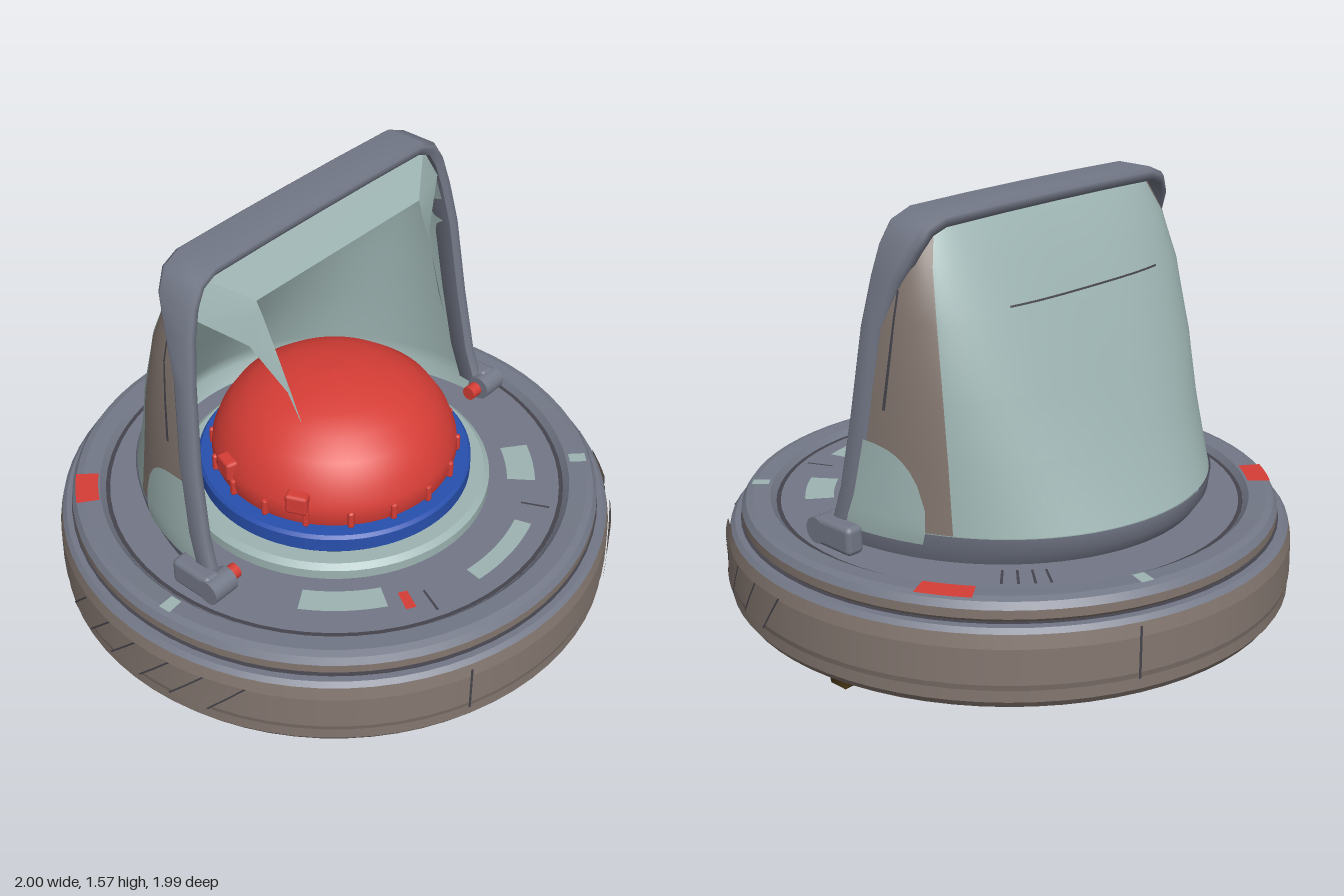
import * as THREE from 'three';
import { RoundedBoxGeometry } from 'three/addons/geometries/RoundedBoxGeometry.js';

const paint = (name, color) => new THREE.MeshStandardMaterial({ name, color, side: THREE.DoubleSide });

export function createModel() {
  const M = {
    brown: paint('warm brown metal', 0x83766f),
    grey: paint('blue grey metal', 0x737887),
    dark: paint('dark seam', 0x45444c),
    pale: paint('pale green panel', 0x9db4b2),
    red: paint('red', 0xd63d36),
    blue: paint('blue', 0x2850ae),
    foot: paint('dark bronze', 0x4b3a18),
  };
  const model = new THREE.Group();
  const add = (name, geo, mat, parent = model) => {
    const m = new THREE.Mesh(geo, mat);
    m.name = name;
    parent.add(m);
    return m;
  };
  // Lathe; repeated points keep the corners sharp
  const lathe = (pts, sharp = true) => new THREE.LatheGeometry(
    pts.flatMap(([r, y], i) => {
      const n = sharp && i > 0 && i < pts.length - 1 ? 2 : 1;
      return Array.from({ length: n }, () => new THREE.Vector2(r, y));
    }), 72);
  // Surface through rows of [x, y, z] points
  const grid = (rows, flip = false) => {
    const w = rows[0].length, idx = [];
    for (let i = 0; i < rows.length - 1; i++) for (let j = 0; j < w - 1; j++) {
      const a = i * w + j, b = a + 1, c = a + w, d = c + 1;
      if (flip) idx.push(a, b, c, b, d, c); else idx.push(a, c, b, b, c, d);
    }
    const g = new THREE.BufferGeometry();
    g.setAttribute('position', new THREE.Float32BufferAttribute(rows.flat(2), 3));
    g.setIndex(idx);
    g.computeVertexNormals();
    return g;
  };
  // Flat arc plate facing up, centred on the direction of (x, z)
  const arcPlate = (name, mat, x, z, r0, r1, span, y) => {
    const g = new THREE.RingGeometry(r0, r1, 64, 1, Math.atan2(-z, x) - span / 2, span);
    g.rotateX(-Math.PI / 2);
    add(name, g, mat).position.y = y;
  };
  const steps = (n, f) => Array.from({ length: n + 1 }, (_, i) => f(i / n));
  const lerp = THREE.MathUtils.lerp;

  // Base drum
  add('baseDrum', lathe([[0, 0.125], [0.93, 0.125], [0.97, 0.135], [0.988, 0.16], [0.988, 0.2],
    [0.993, 0.22], [0.99, 0.34], [0.98, 0.385]]), M.brown);
  add('baseShoulder', lathe([[0.98, 0.385], [0.965, 0.4], [0.925, 0.4]]), M.grey);
  add('upperRingSide', lathe([[0.925, 0.4], [0.94, 0.415], [0.94, 0.445]]), M.brown);
  add('deck', lathe([[0.94, 0.445], [0.925, 0.467], [0.9, 0.475], [0.84, 0.472], [0.82, 0.45], [0, 0.45]]), M.grey);
  arcPlate('deckGroove', M.dark, 1, 0, 0.805, 0.82, Math.PI * 2, 0.452);
  arcPlate('shoulderGroove', M.dark, 1, 0, 0.928, 0.945, Math.PI * 2, 0.403);

  // Slanted plates and a seam around the drum
  const drumPatch = (name, mat, deg, span, lean, y0, y1, r) => add(name, grid(steps(2, v => steps(6, s => {
    const a = THREE.MathUtils.degToRad(deg + (s - 0.5) * span + (v - 0.5) * lean);
    return [Math.sin(a) * r, lerp(y0, y1, v), Math.cos(a) * r];
  })), true), mat);
  for (const deg of [53, 69, 84, 101, -52, -68, -84]) {
    const lean = deg > 0 ? 6 : 8;
    drumPatch('slantedPlate', M.brown, deg, 8, lean, 0.21, 0.355, 0.999);
    for (const s of [-4.2, 4.2]) drumPatch('plateEdge', M.dark, deg + s, 0.5, lean, 0.21, 0.355, 0.9995);
  }
  for (const deg of [-1, 179]) drumPatch('drumSeam', M.dark, deg, 0.5, 0, 0.2, 0.38, 0.996);

  // Feet
  for (const [x, z] of [[0.73, -0.3], [-0.71, 0.34], [0.5, 0.55], [-0.5, -0.54]]) {
    const g = new THREE.CylinderGeometry(0.075, 0.05, 0.14, 4).rotateY(Math.PI / 4);
    const f = add('foot', g, M.foot);
    f.position.set(x, 0.07, z);
    f.rotation.y = Math.atan2(x, z);
  }

  // Plates and marks on the deck
  arcPlate('deckLight', M.pale, -0.28, 0.6, 0.62, 0.71, 0.42, 0.456);
  arcPlate('deckLight', M.pale, 0.32, 0.64, 0.68, 0.74, 0.46, 0.456);
  arcPlate('deckLight', M.pale, 0.61, 0.27, 0.62, 0.72, 0.28, 0.456);
  arcPlate('deckMark', M.red, -0.09, 0.69, 0.66, 0.74, 0.05, 0.456);
  arcPlate('rimMark', M.red, 0.55, -0.72, 0.845, 0.925, 0.2, 0.478);
  arcPlate('rimMark', M.red, -0.83, -0.29, 0.845, 0.925, 0.17, 0.478);
  for (const [x, z] of [[-0.05, -0.88], [-0.8, 0.38], [0.88, 0.4]])
    arcPlate('rimChip', M.pale, x, z, 0.85, 0.91, 0.05, 0.478);
  for (const [x, z] of [[0.55, 0.5], [-0.02, 0.7], [0.2, -0.75], [0.25, -0.74], [0.3, -0.72], [0.35, -0.7]])
    arcPlate('deckSlot', M.dark, x, z, 0.68, 0.78, 0.012, 0.455);

  // Central button
  add('paleCollar', lathe([[0.555, 0.45], [0.555, 0.485], [0.535, 0.502], [0.44, 0.502]]), M.pale);
  add('blueRing', lathe([[0.475, 0.5], [0.485, 0.51], [0.485, 0.56], [0.475, 0.572], [0.4, 0.572]]), M.blue);
  add('redDome', lathe([[0.425, 0.57], [0.435, 0.61], [0.43, 0.65], [0.405, 0.715], [0.36, 0.785], [0.29, 0.84],
    [0.21, 0.875], [0.11, 0.897], [0, 0.904]], false), M.red);
  for (let i = 0; i < 18; i++) {
    const a = (i / 18) * Math.PI * 2;
    const rib = add('domeRib', new RoundedBoxGeometry(0.022, 0.065, 0.03, 1, 0.008), M.red);
    rib.position.set(Math.sin(a) * 0.43, 0.603, Math.cos(a) * 0.43);
    rib.rotation.y = a;
  }
  for (const a of [-0.77, -1.5, 2.37]) {
    const clip = add('domeClip', new RoundedBoxGeometry(0.08, 0.075, 0.06, 1, 0.012), M.red);
    clip.position.set(Math.sin(a) * 0.42, 0.66, Math.cos(a) * 0.42);
    clip.rotation.y = a;
  }

  // Raised hood, turned a little to one side
  const hood = new THREE.Group();
  hood.name = 'hood';
  hood.rotation.y = 0.377;
  model.add(hood);

  // Section rule: height, half width, front, back, roundness
  const sec = [[0.47, 0.705, 0.09, -0.66, 1], [0.52, 0.72, 0.085, -0.695, 1], [0.57, 0.72, 0.07, -0.695, 0.98],
    [0.8, 0.7, 0.03, -0.575, 0.88], [1, 0.685, 0.01, -0.49, 0.78], [1.24, 0.655, -0.03, -0.375, 0.68],
    [1.4, 0.615, -0.05, -0.285, 0.62], [1.5, 0.565, -0.06, -0.22, 0.6], [1.535, 0.5, -0.07, -0.19, 0.6]];
  const shellPoint = (a, y, out = 0) => {
    let i = 0;
    while (i < sec.length - 2 && y > sec[i + 1][0]) i++;
    const t = (y - sec[i][0]) / (sec[i + 1][0] - sec[i][0]);
    const [U, f, b, p] = [1, 2, 3, 4].map(k => lerp(sec[i][k], sec[i + 1][k], t));
    const c = Math.cos(a), s = Math.abs(Math.sin(a));
    return [(U + out) * Math.sign(c) * Math.abs(c) ** p, y, f - (f - b + out) * s ** p];
  };
  const ys = sec.map(s => s[0]);
  const shell = (name, mat, a0, a1, levels, out = 0, n = 24) =>
    add(name, grid(levels.map(y => steps(n, t => shellPoint(lerp(a0, a1, t), y, out)))), mat, hood);
  const side = 0.56, PI = Math.PI;
  shell('hoodSkirt', M.grey, 0, PI, ys.slice(0, 3), 0.006, 48);
  shell('hoodBack', M.pale, side, PI - side, ys.slice(2), 0, 36);
  shell('hoodSide', M.brown, 0, side, ys.slice(2));
  shell('hoodSide', M.brown, PI - side, PI, ys.slice(2));
  shell('hoodLining', M.pale, 0, PI, ys, -0.025, 48);
  shell('backSeam', M.dark, 1.15, PI - 1.15, [1.26, 1.266], 0.003);
  for (const flip of [false, true]) {
    const A = a => (flip ? PI - a : a);
    // Pale lower side panel with a rounded top corner
    add('sidePanel', grid(steps(8, v => steps(10, t => {
      const top = 0.58 + 0.26 * Math.sqrt(1 - (t * 0.98) ** 3);
      return shellPoint(A(lerp(0.02, 0.44, t)), lerp(0.53, top, v), 0.009);
    })), flip), M.pale, hood);
    shell('sideSlot', M.dark, A(0.16), A(0.18), [0.95, 1.1, 1.24, 1.33], 0.003, 2);
  }

  // Front frame swept along the hood opening
  const half = [[0.735, 0.47, 0.13], [0.735, 0.55, 0.1], [0.728, 0.65, 0.07], [0.71, 0.9, 0.03], [0.68, 1.2, 0],
    [0.65, 1.36, -0.02], [0.62, 1.46, -0.03], [0.575, 1.53, -0.035], [0.5, 1.56, -0.04], [0.25, 1.564, -0.04]];
  const path = [...half, [0, 1.565, -0.04], ...half.slice().reverse().map(([x, y, z]) => [-x, y, z])];
  const frame = path.map(([x, y, z], i) => {
    const p = path[Math.max(i - 1, 0)], q = path[Math.min(i + 1, path.length - 1)];
    const dx = q[0] - p[0], dy = q[1] - p[1], l = Math.hypot(dx, dy);
    const nx = dy / l, ny = -dx / l; // outward is (nx, ny)
    const d = lerp(0.08, 0.17, THREE.MathUtils.smoothstep(y, 1.2, 1.55));
    return [[0.045, -0.01], [0.03, 0], [0.012, 0], [0, -0.015], [0, 0.02 - d], [0.015, -d], [0.045, -d], [0.045, -0.01]]
      .map(([inn, dz]) => [x - nx * inn, y - ny * inn, z + dz]);
  });
  add('hoodFrame', grid(frame, true), M.grey, hood);

  // Inner visor and its two hanging pointed fins
  add('visor', grid([[[-0.53, 1.515, -0.06], [0.53, 1.515, -0.06]], [[-0.4, 1.41, 0.03], [0.4, 1.41, 0.03]]]), M.pale, hood);
  for (const s of [-1, 1]) {
    const a = [s * 0.53, 1.515, -0.06], b = [s * 0.4, 1.41, 0.03];
    add('visorFin', grid([[a, b], [[s * 0.59, 1.4, -0.04], [s * 0.395, 1.36, 0.05]],
      [[s * 0.45, 1.27, 0.04], [s * 0.39, 1.24, 0.1]], [[s * 0.385, 1.1, 0.14], [s * 0.38, 1.1, 0.15]],
      [[s * 0.376, 1.0, 0.185], [s * 0.374, 1.0, 0.185]]], s > 0), M.pale, hood);
  }

  // Hinges with red pins
  for (const s of [-1, 1]) {
    const block = add('hingeBlock', new RoundedBoxGeometry(0.07, 0.1, 0.17, 2, 0.02), M.grey, hood);
    block.position.set(s * 0.745, 0.5, 0.05);
    const knuckle = add('hingeKnuckle', new THREE.CylinderGeometry(0.045, 0.045, 0.1, 16).rotateZ(PI / 2), M.grey, hood);
    knuckle.position.set(s * 0.73, 0.5, 0.13);
    const pin = add('hingePin', new THREE.CylinderGeometry(0.027, 0.027, 0.05, 12).rotateZ(PI / 2), M.red, hood);
    pin.position.set(s * 0.66, 0.495, 0.12);
  }
  return model;
}
